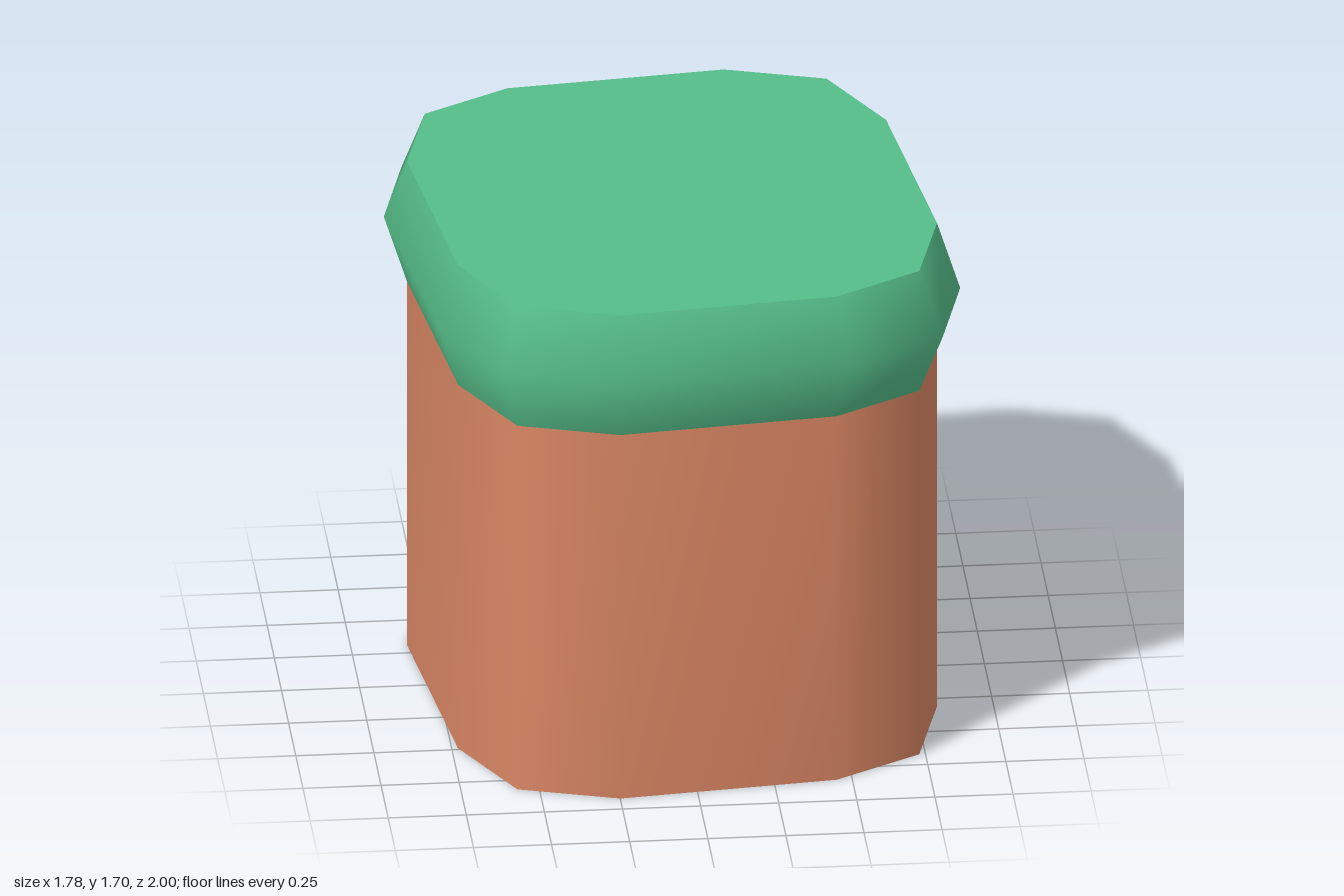
import * as THREE from 'three';

// Half of the twelve-sided outline [x, z]; the other half is its 180 degree turn
const half = (pts) => [...pts, ...pts.map(([x, z]) => [-x, -z])];
const inner = half([[0.25, -0.92], [0.57, -0.82], [0.73, -0.49], [0.82, 0.31], [0.73, 0.67], [0.45, 0.84]]);
const outer = half([[0.28, -1], [0.62, -0.89], [0.79, -0.55], [0.89, 0.355], [0.80, 0.725], [0.50, 0.91]]);

// Smooth wall joining stacked outlines, given as [outline, y] from bottom to top
function wall(rings) {
  const pos = [], index = [], n = inner.length;
  for (const [outline, y] of rings) for (const [x, z] of outline) pos.push(x, y, z);
  for (let r = 0; r < rings.length - 1; r++) {
    for (let i = 0; i < n; i++) {
      const a = r * n + i, b = r * n + (i + 1) % n;
      index.push(b, a, a + n, b, a + n, b + n);
    }
  }
  return build(pos, index);
}

// Flat lid facing up or down
function lid(outline, y, up) {
  const pos = [0, y, 0], index = [], n = outline.length;
  outline.forEach(([x, z], i) => {
    pos.push(x, y, z);
    const a = i + 1, b = (i + 1) % n + 1;
    index.push(0, up ? b : a, up ? a : b);
  });
  return build(pos, index);
}

function build(pos, index) {
  const g = new THREE.BufferGeometry();
  g.setAttribute('position', new THREE.Float32BufferAttribute(pos, 3));
  g.setIndex(index);
  g.computeVertexNormals();
  return g;
}

export function createModel() {
  const model = new THREE.Group();
  model.name = 'grassBlock';
  const grass = new THREE.MeshStandardMaterial({ name: 'grass green', color: 0x56be8a });
  const dirt = new THREE.MeshStandardMaterial({ name: 'dirt brown', color: 0xd98663 });
  const add = (name, geometry, material) => {
    const mesh = new THREE.Mesh(geometry, material);
    mesh.name = name;
    model.add(mesh);
  };

  // Earth column
  add('dirtWall', wall([[inner, 0], [inner, 1.275]]), dirt);
  add('dirtBase', lid(inner, 0, false), dirt);

  // Bulging grass cap
  add('grassRim', wall([[inner, 1.275], [outer, 1.485], [inner, 1.695]]), grass);
  add('grassTop', lid(inner, 1.695, true), grass);
  return model;
}
